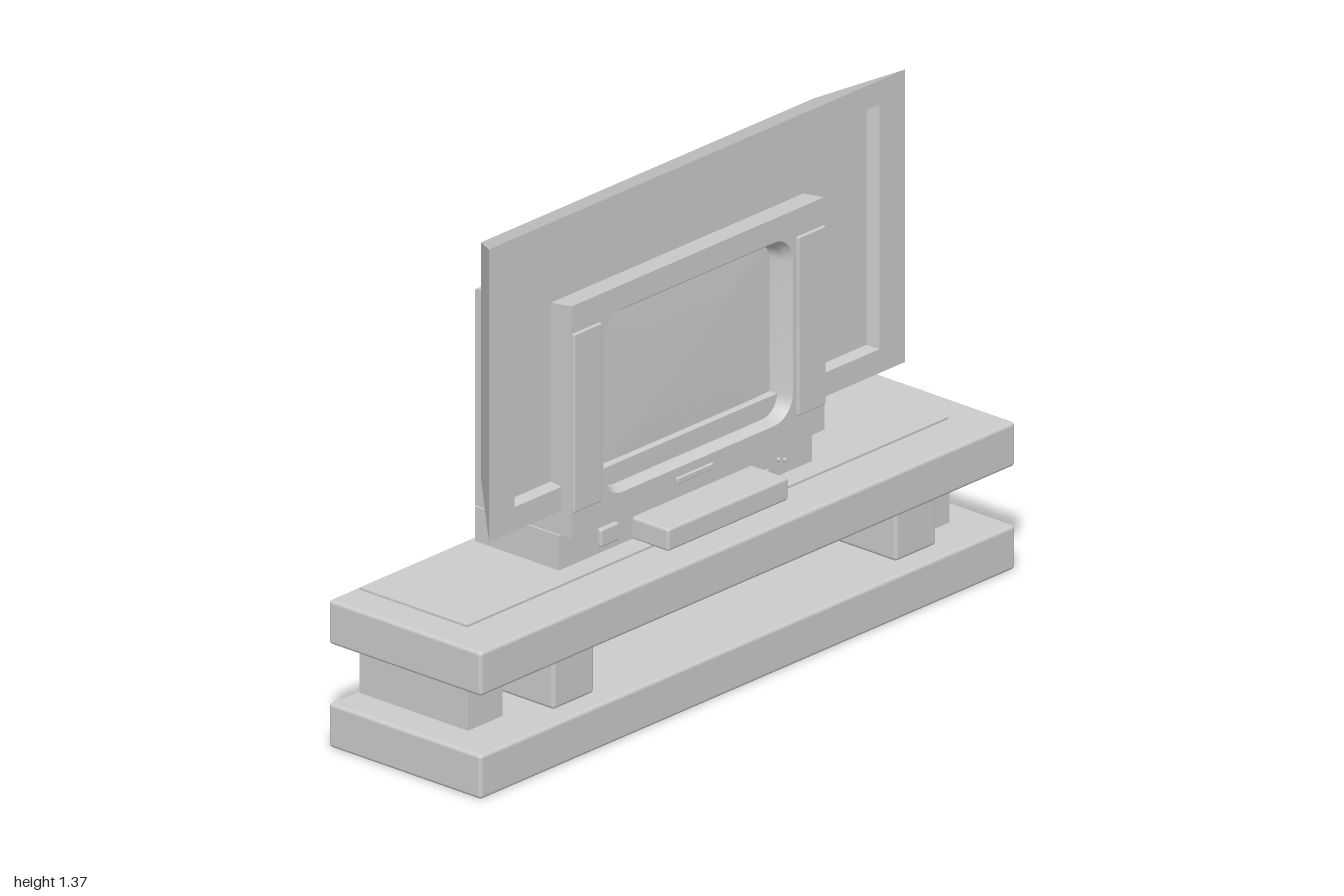
import * as THREE from 'three';
import { RoundedBoxGeometry } from 'three/addons/geometries/RoundedBoxGeometry.js';
import { toCreasedNormals } from 'three/addons/utils/BufferGeometryUtils.js';

const material = new THREE.MeshStandardMaterial({ color: 0xcccccc });

// Counter-clockwise rounded rectangle; every section has the same point count.
function section(x0, x1, y0, y1, z, r = 0) {
  const steps = 8, points = [];
  const corners = [[x1 - r, y0 + r, -0.5], [x1 - r, y1 - r, 0], [x0 + r, y1 - r, 0.5], [x0 + r, y0 + r, 1]];
  for (const [cx, cy, start] of corners) {
    for (let i = 0; i <= steps; i++) {
      const a = (start + (0.5 * i) / steps) * Math.PI;
      points.push(new THREE.Vector3(cx + r * Math.cos(a), cy + r * Math.sin(a), z));
    }
  }
  return points;
}

// Skin through sections from back to front, closed at both ends.
// Going back inwards at the front makes a recess; dome raises the last cap.
function loft(sections, dome = 0) {
  const out = [];
  const tri = (a, b, c) => {
    const area = b.clone().sub(a).cross(c.clone().sub(a)).length();
    if (area > 1e-9) for (const p of [a, b, c]) out.push(p.x, p.y, p.z);
  };
  const middle = (s) => s.reduce((m, p) => m.add(p), new THREE.Vector3()).divideScalar(s.length);
  const n = sections[0].length, last = sections.length - 1;
  const back = middle(sections[0]), front = middle(sections[last]);
  front.z += dome;
  for (let k = 0; k < n; k++) {
    const j = (k + 1) % n;
    tri(back, sections[0][j], sections[0][k]);
    tri(front, sections[last][k], sections[last][j]);
    for (let i = 0; i < last; i++) {
      const s = sections[i], t = sections[i + 1];
      tri(s[k], s[j], t[j]);
      tri(s[k], t[j], t[k]);
    }
  }
  const geometry = new THREE.BufferGeometry();
  geometry.setAttribute('position', new THREE.Float32BufferAttribute(out, 3));
  geometry.computeVertexNormals();
  return toCreasedNormals(geometry, 0.4);
}

export function createModel() {
  const model = new THREE.Group();
  model.name = 'televisionsOnStand';

  const add = (name, geometry) => {
    const mesh = new THREE.Mesh(geometry, material);
    mesh.name = name;
    model.add(mesh);
    return mesh;
  };
  // Box given by its limits, with rounded edges when r > 0.
  const box = (name, [x0, x1], [y0, y1], [z0, z1], r = 0) => {
    const size = [x1 - x0, y1 - y0, z1 - z0];
    const geometry = r ? new RoundedBoxGeometry(...size, 3, r) : new THREE.BoxGeometry(...size);
    add(name, geometry).position.set((x0 + x1) / 2, (y0 + y1) / 2, (z0 + z1) / 2);
  };

  // Low stand: two slabs, back wall, side columns and front posts
  box('lowerShelf', [-1, 1], [0, 0.12], [-0.215, 0.298], 0.01);
  box('upperShelf', [-1, 1], [0.28, 0.4], [-0.215, 0.298], 0.01);
  box('topPanel', [-0.9, 0.9], [0.39, 0.406], [-0.2, 0.162]);
  box('standBackWall', [-0.9, 0.9], [0.11, 0.29], [-0.2, -0.14]);
  for (const [x0, x1] of [[-0.9, -0.77], [0.77, 0.9]]) box('sideColumn', [x0, x1], [0.11, 0.29], [-0.2, 0.165]);
  for (const [x0, x1] of [[-0.66, -0.507], [0.62, 0.773]]) box('frontPost', [x0, x1], [0.12, 0.28], [-0.15, 0.237], 0.01);

  // Large flat television with a recessed screen
  add('largeTelevision', loft([
    section(-0.6, 0.645, 0.65, 1.288, -0.062),
    section(-0.755, 0.8, 0.57, 1.365, 0.105),
    section(-0.66, 0.705, 0.635, 1.3, 0.105),
    section(-0.65, 0.695, 0.64, 1.293, 0.07),
  ]));

  // Small television: plinth, cabinet with round-cornered screen, tube housing
  box('televisionPlinth', [-0.485, 0.46], [0.4, 0.5], [-0.185, 0.098]);
  add('smallTelevision', loft([
    section(-0.485, 0.46, 0.503, 1.09, -0.185),
    section(-0.485, 0.46, 0.503, 1.135, 0.14),
    section(-0.365, 0.343, 0.572, 1.07, 0.14, 0.07),
    section(-0.35, 0.328, 0.58, 1.056, 0.12, 0.06),
    section(-0.337, 0.316, 0.585, 1.048, 0.085, 0.05),
  ], 0.012));
  add('tubeHousing', loft([
    section(-0.275, 0.25, 0.615, 0.9, -0.298),
    section(-0.35, 0.325, 0.555, 0.985, -0.18),
  ]));
  box('leftSpeakerStrip', [0.355, 0.458], [0.575, 1.06], [0.13, 0.148], 0.004);
  box('rightSpeakerStrip', [-0.483, -0.378], [0.575, 1.06], [0.13, 0.148], 0.004);
  box('frontButton', [-0.095, 0.04], [0.53, 0.547], [0.13, 0.147], 0.003);

  // Small console and controls in front of the plinth
  box('console', [-0.21, 0.24], [0.403, 0.465], [0.09, 0.218], 0.008);
  box('powerSwitch', [-0.34, -0.272], [0.425, 0.474], [0.09, 0.11], 0.006);
  for (const y of [0.424, 0.436]) {
    const plug = add('consolePlug', new THREE.CylinderGeometry(0.004, 0.004, 0.055, 10));
    plug.rotation.z = Math.PI / 2;
    plug.position.set(0.262, y, 0.104);
  }
  for (const [x, y] of [[0.335, 0.45], [0.357, 0.442]]) {
    const socket = add('plinthSocket', new THREE.CylinderGeometry(0.006, 0.006, 0.012, 12));
    socket.rotation.x = Math.PI / 2;
    socket.position.set(x, y, 0.1);
  }
  return model;
}
